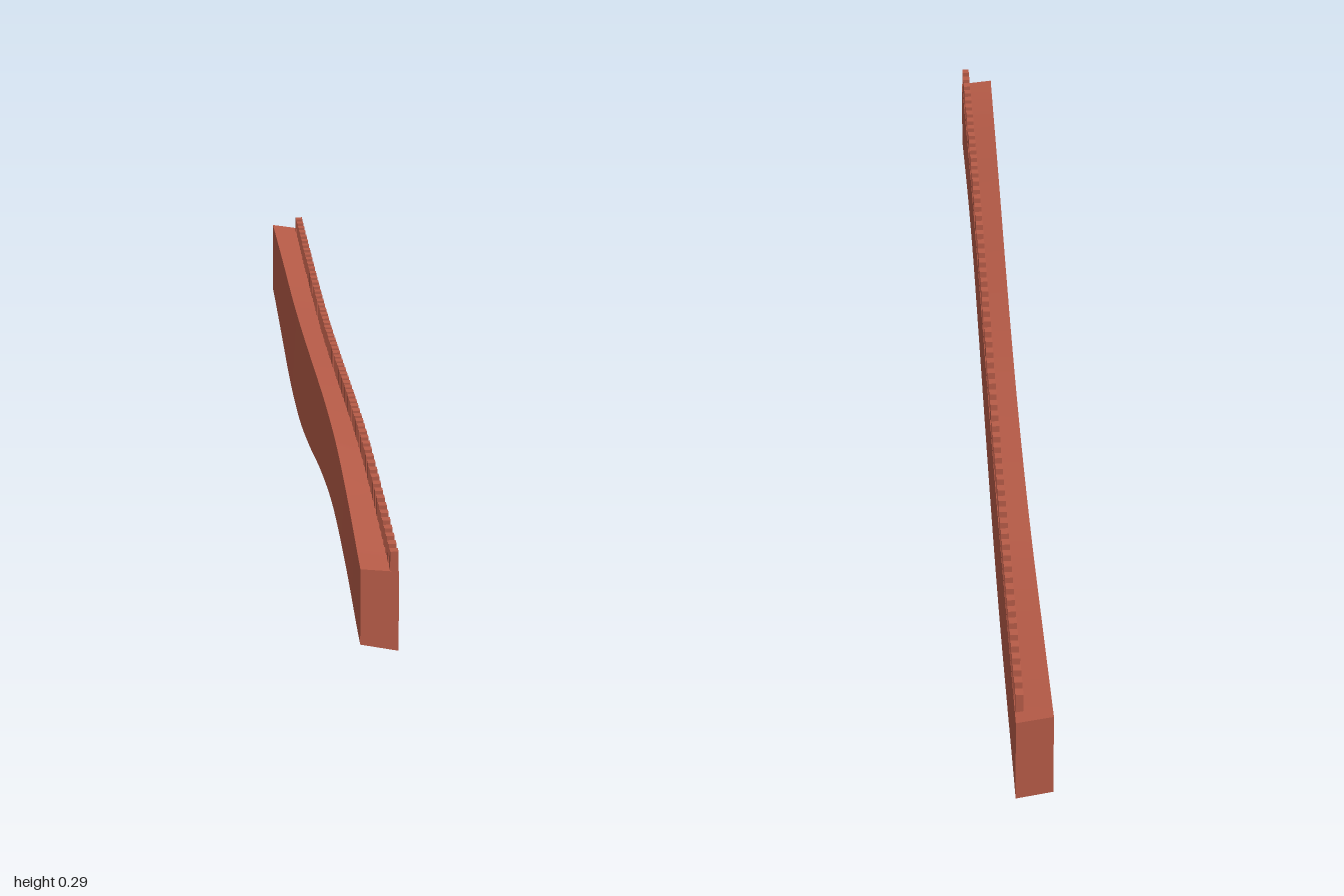
import * as THREE from 'three';
import { mergeGeometries, toCreasedNormals } from 'three/addons/utils/BufferGeometryUtils.js';

// Heights of the four long edges, evenly spaced from the rear end to the front end
const FRONT_BOTTOM = [0.042, 0.024, 0.005, 0.015, 0.058, 0.112, 0.146, 0.137, 0.107];
const BACK_BOTTOM = [0.03, 0.013, 0, 0.014, 0.048, 0.088, 0.122, 0.12, 0.093];
const FRONT_TOP = [0.206, 0.201, 0.195, 0.205, 0.227, 0.252, 0.268, 0.264, 0.25];
const BACK_TOP = [0.195, 0.192, 0.19, 0.197, 0.215, 0.236, 0.252, 0.25, 0.243];

const curve = (heights) => new THREE.SplineCurve(
  heights.map((y, i) => new THREE.Vector2(i / (heights.length - 1), y)));
const edges = [FRONT_BOTTOM, FRONT_TOP, BACK_TOP, BACK_BOTTOM].map(curve);

// Point on the diagonal: u runs 0..1 along it, side is +1 front, -1 back
function place(u, side, y) {
  const t = u * 2 - 1;
  return [0.938 * t - 0.0245 * side, y, 0.975 * t + 0.0245 * side];
}

function beamGeometry(segments = 48) {
  const positions = [], index = [];
  for (let i = 0; i <= segments; i++) {
    const u = i / segments;
    // the upper front edge is set back a little in the middle
    const inset = 0.3 * Math.sin(Math.PI * u);
    const sides = [1, 1 - inset, -1, -1];
    edges.forEach((e, k) => positions.push(...place(u, sides[k], e.getPoint(u).y)));
  }
  const quad = (a, b, c, d) => index.push(a, b, c, a, c, d);
  for (let i = 0; i < segments; i++) {
    for (let k = 0; k < 4; k++) {
      const n = (k + 1) % 4, a = i * 4, b = a + 4;
      quad(a + k, b + k, b + n, a + n);
    }
  }
  const end = segments * 4;
  quad(0, 1, 2, 3);
  quad(end, end + 3, end + 2, end + 1);
  const g = new THREE.BufferGeometry();
  g.setAttribute('position', new THREE.Float32BufferAttribute(positions, 3));
  g.setIndex(index);
  return toCreasedNormals(g, 0.5);
}

// Row of small upright blocks along the back top edge
function teethGeometry(count = 65) {
  const teeth = [];
  const angle = -Math.atan2(0.975, 0.938);
  for (let i = 0; i < count; i++) {
    const u = 0.996 - (i / (count - 1)) * 0.979;
    const y = edges[2].getPoint(u).y;
    const [x, , z] = place(u, -0.76, 0);
    const tooth = new THREE.BoxGeometry(0.021, 0.05, 0.015);
    tooth.rotateY(angle);
    tooth.translate(x, y + 0.013, z);
    teeth.push(tooth);
  }
  return mergeGeometries(teeth);
}

export function createModel() {
  const brick = new THREE.MeshStandardMaterial({ color: 0xb85c48 });
  brick.name = 'brick red';
  const group = new THREE.Group();
  group.name = 'wavyCrestedBeam';

  const beam = new THREE.Mesh(beamGeometry(), brick);
  beam.name = 'beam';
  const teeth = new THREE.Mesh(teethGeometry(), brick);
  teeth.name = 'crestTeeth';
  group.add(beam, teeth);
  return group;
}
